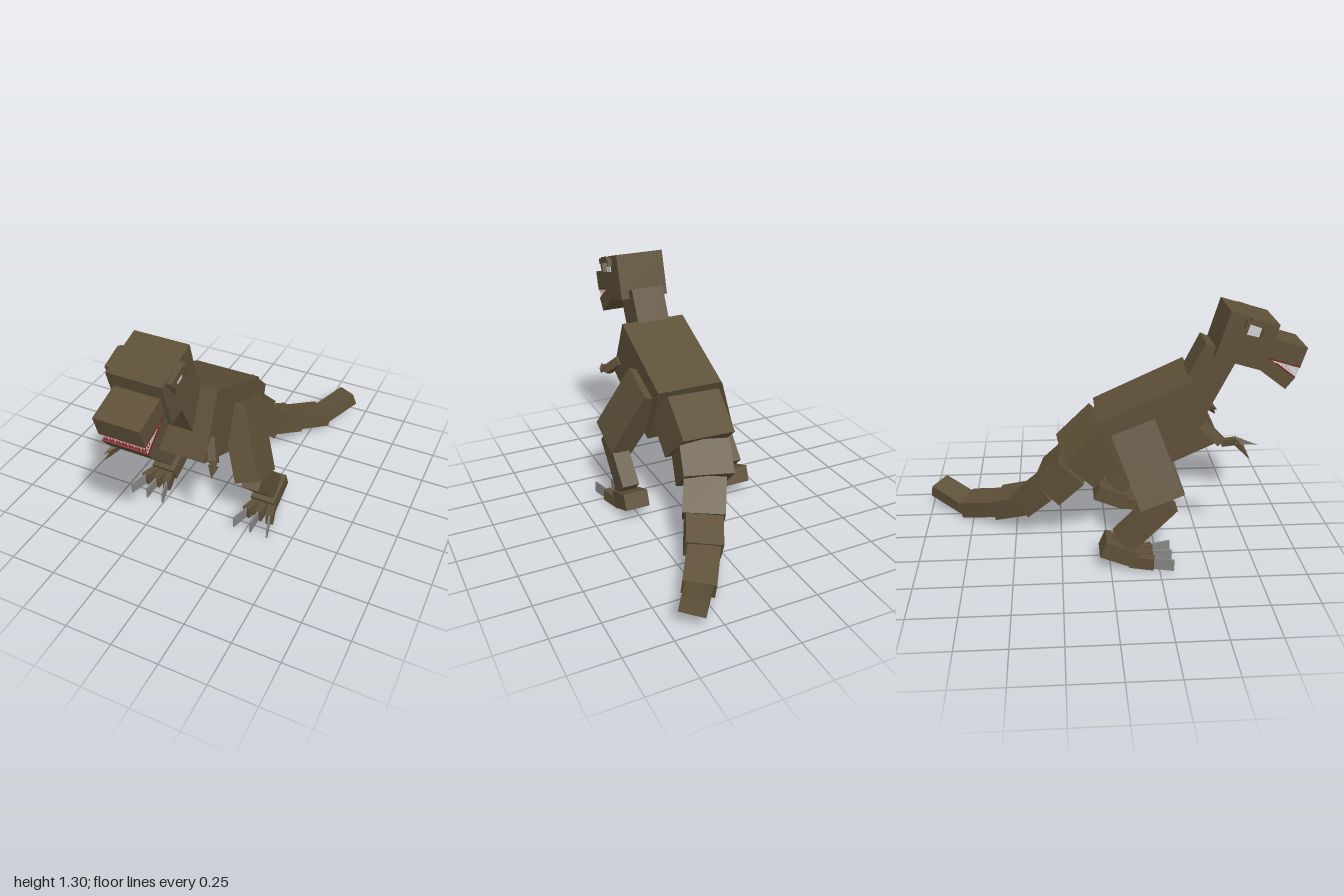
import * as THREE from 'three';

const MID = -0.03; // the body's centre line

export function createModel() {
  const model = new THREE.Group();
  model.name = 'dinosaur';
  const mat = (name, color, side = THREE.FrontSide) => {
    const m = new THREE.MeshStandardMaterial({ color, side, flatShading: true });
    m.name = name;
    return m;
  };
  const hide = mat('brown hide', 0x5e5038);
  const claw = mat('grey claw', 0x858583, THREE.DoubleSide);
  const ivory = mat('pale teeth and eyes', 0xcfcfcf, THREE.DoubleSide);
  const gum = mat('red mouth', 0x7c1414);

  // Box running from a to b; its width lies along the side hint
  function bar(name, a, b, w, h, material = hide, side = [1, 0, 0], parent = model) {
    const A = new THREE.Vector3(...a), B = new THREE.Vector3(...b);
    const z = B.clone().sub(A), len = z.length();
    z.normalize();
    const y = z.clone().cross(new THREE.Vector3(...side)).normalize();
    const x = y.clone().cross(z);
    const mesh = new THREE.Mesh(new THREE.BoxGeometry(w, h, len), material);
    mesh.quaternion.setFromRotationMatrix(new THREE.Matrix4().makeBasis(x, y, z));
    mesh.position.copy(A).add(B).multiplyScalar(0.5);
    mesh.name = name;
    mesh.userData.length = len;
    parent.add(mesh);
    return mesh;
  }

  // Torso, neck and head
  bar('torso', [MID, 0.583, 0.015], [MID, 0.805, 0.495], 0.365, 0.365);
  bar('neck', [MID, 0.755, 0.407], [MID, 1.093, 0.573], 0.185, 0.185);
  bar('head', [MID, 1.188, 0.5625], [MID, 1.115, 0.81], 0.275, 0.247);
  const snout = bar('snout', [MID, 1.142, 0.7], [MID, 1.055, 0.985], 0.23, 0.105);
  const jaw = bar('lowerJaw', [MID, 1.06, 0.74], [MID, 0.918, 0.925], 0.23, 0.075);

  // Zigzag row of teeth, pointing up (dir 1) or down (dir -1)
  function toothRow(width, count, height) {
    const s = new THREE.Shape();
    s.moveTo(-width / 2, 0);
    for (let i = 0; i < count; i++) {
      s.lineTo(-width / 2 + (width * (i + 0.5)) / count, height * (i % 2 ? 0.75 : 1));
      s.lineTo(-width / 2 + (width * (i + 1)) / count, height * 0.25);
    }
    s.lineTo(width / 2, 0);
    return new THREE.ShapeGeometry(s);
  }
  function addTeeth(parent, dir, y, height, run) {
    const front = parent.userData.length / 2 - 0.003;
    const add = (name, w, n, x, z, turn) => {
      const row = new THREE.Mesh(toothRow(w, n, height * dir), ivory);
      row.name = name;
      row.position.set(x, y, z);
      row.rotation.y = turn;
      parent.add(row);
    };
    add('frontTeeth', 0.224, 14, 0, front, 0);
    for (const s of [-1, 1]) add('sideTeeth', run, 10, s * 0.112, front - run / 2, Math.PI / 2);
    const lining = new THREE.Mesh(new THREE.BoxGeometry(0.231, 0.006, run), gum);
    lining.name = 'mouthLining';
    lining.position.set(0, y, front - run / 2 + 0.003);
    parent.add(lining);
  }
  addTeeth(snout, -1, -0.054, 0.04, 0.17);
  addTeeth(jaw, 1, 0.039, 0.03, 0.13);

  // Eyes with raised ridges around them
  for (const s of [-1, 1]) {
    const x = MID + s * 0.138;
    bar('browRidge', [x, 1.262, 0.69], [x, 1.222, 0.805], 0.05, 0.03);
    bar('frontEyeRidge', [x, 1.225, 0.78], [x, 1.17, 0.755], 0.05, 0.025);
    bar('rearEyeRidge', [x, 1.265, 0.685], [x, 1.225, 0.672], 0.05, 0.02);
    bar('eye', [x, 1.225, 0.69], [x, 1.21, 0.75], 0.009, 0.075, ivory);
  }

  // Tail: joints with the width, height and sideways tilt of each segment
  const joints = [
    [MID, 0.64, 0.01], [-0.035, 0.465, -0.17], [0.0, 0.33, -0.3], [0.07, 0.195, -0.425],
    [0.155, 0.125, -0.595], [0.275, 0.062, -0.785], [0.388, 0.125, -0.96],
  ];
  const sections = [
    [0.32, 0.225, 0.18], [0.27, 0.19, 0.13], [0.22, 0.15, 0.08],
    [0.19, 0.115, 0.15], [0.165, 0.095, 0.15], [0.13, 0.075, 0.2],
  ];
  sections.forEach(([w, h, tilt], i) => {
    const a = joints[i], b = joints[i + 1];
    // lean the width axis square to the tail's sideways bend
    const bend = (b[0] - a[0]) / (a[2] - b[2]);
    bar('tailSegment' + (i + 1), a, b, w, h, hide, [1, tilt, bend]);
  });

  // Legs
  for (const s of [-1, 1]) {
    const p = (x, y, z) => [MID + s * x, y, z];
    const side = s < 0 ? 'right' : 'left';
    bar(side + 'Thigh', p(0.165, 0.725, 0.125), p(0.315, 0.37, 0.265), 0.13, 0.235);
    bar(side + 'Shin', p(0.315, 0.385, 0.29), p(0.315, 0.15, 0.063), 0.095, 0.13);
    bar(side + 'Foot', p(0.308, 0.134, -0.04), p(0.308, 0.064, 0.13), 0.137, 0.09);
    for (const t of [-1, 0, 1]) {
      // each toe ends in a thin upright claw
      const at = (d) => p(0.315 + t * (0.035 + d * 0.28), 0.052, 0.1 + d);
      bar(side + 'Toe', at(0), at(0.12), 0.042, 0.065);
      bar(side + 'Claw', at(0.12), at(0.22), 0.009, 0.064, claw);
    }
  }

  // Small arms, each bent differently, with two pointed fingers
  function arm(side, shoulder, elbow, wrist, tips) {
    bar(side + 'UpperArm', shoulder, elbow, 0.04, 0.05);
    bar(side + 'Forearm', elbow, wrist, 0.03, 0.035);
    for (const tip of tips) {
      const A = new THREE.Vector3(...wrist), B = new THREE.Vector3(...tip);
      const d = B.clone().sub(A);
      const finger = new THREE.Mesh(new THREE.ConeGeometry(0.026, d.length(), 4), hide);
      finger.name = side + 'Finger';
      finger.position.copy(A).add(B).multiplyScalar(0.5);
      finger.quaternion.setFromUnitVectors(new THREE.Vector3(0, 1, 0), d.normalize());
      model.add(finger);
    }
  }
  arm('right', [-0.2, 0.73, 0.48], [-0.245, 0.645, 0.57], [-0.27, 0.665, 0.64],
    [[-0.305, 0.655, 0.74], [-0.325, 0.585, 0.7]]);
  arm('left', [0.15, 0.73, 0.48], [0.195, 0.655, 0.56], [0.21, 0.66, 0.59],
    [[0.22, 0.635, 0.635], [0.215, 0.61, 0.625]]);

  return model;
}
